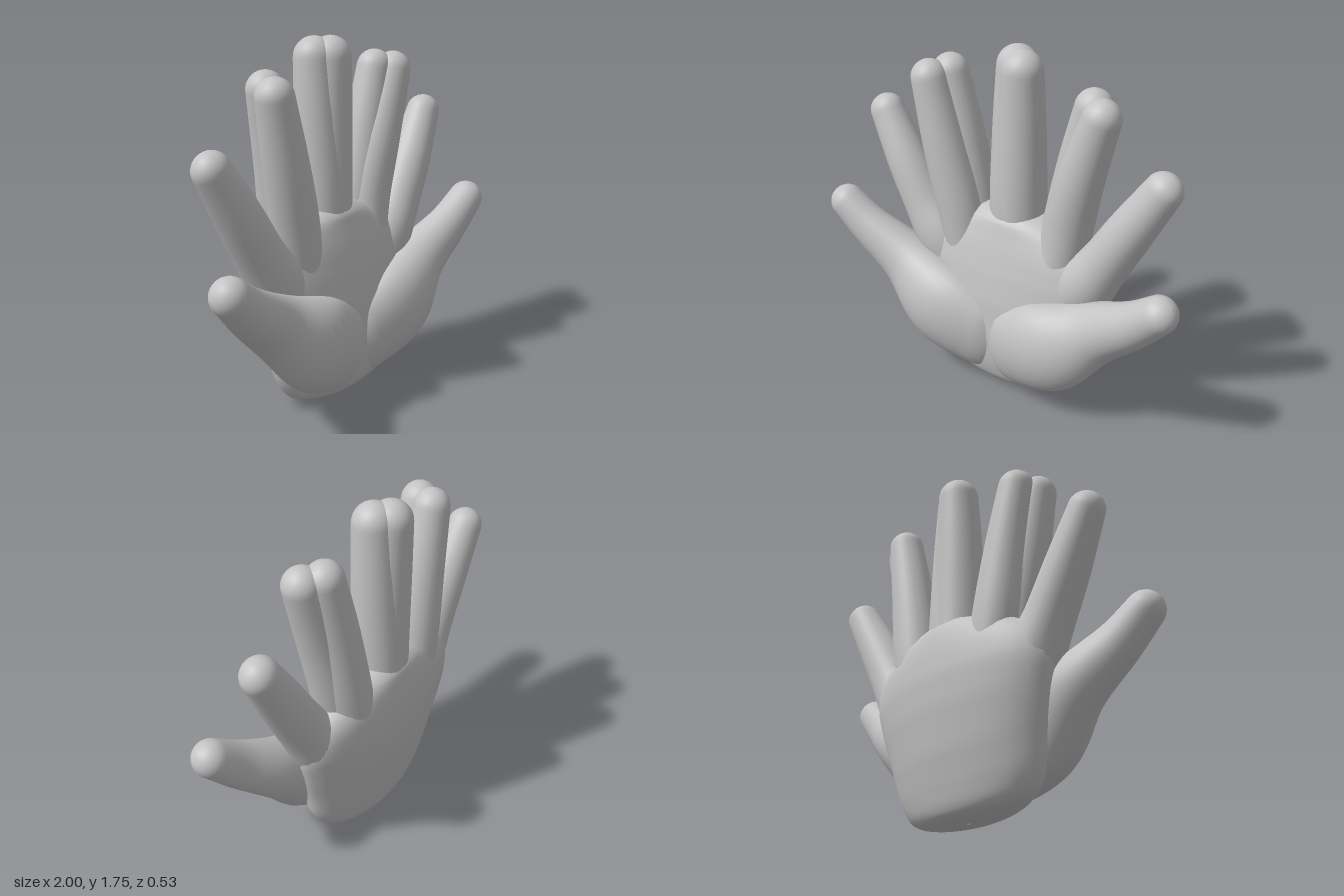
import * as THREE from 'three';

const SIDES = 28;
const Z = new THREE.Vector3(0, 0, 1);

// Smooth closed skin over a list of rings, each SIDES points long
function loft(rings) {
  const pos = [], index = [];
  rings.forEach(ring => ring.forEach(p => pos.push(p.x, p.y, p.z)));
  for (let i = 0; i < rings.length - 1; i++) {
    for (let j = 0; j < SIDES; j++) {
      const k = (j + 1) % SIDES;
      const a = i * SIDES + j, b = i * SIDES + k;
      const c = a + SIDES, d = b + SIDES;
      index.push(a, c, b, b, c, d);
    }
  }
  const geo = new THREE.BufferGeometry();
  geo.setAttribute('position', new THREE.Float32BufferAttribute(pos, 3));
  geo.setIndex(index);
  geo.computeVertexNormals();
  return geo;
}

// Elliptical ring square to direction t
function ringAt(c, t, rSide, rDepth) {
  const s = new THREE.Vector3().crossVectors(t, Z).normalize();
  const d = new THREE.Vector3().crossVectors(s, t).normalize();
  return Array.from({ length: SIDES }, (_, j) => {
    const a = (j / SIDES) * Math.PI * 2;
    return c.clone().addScaledVector(s, Math.cos(a) * rSide).addScaledVector(d, Math.sin(a) * rDepth);
  });
}

// Round-ended limb through points [x, y, z, side radius, depth radius]
function limb(points) {
  const path = new THREE.CatmullRomCurve3(points.map(p => new THREE.Vector3(p[0], p[1], p[2])), false, 'catmullrom');
  const size = new THREE.CatmullRomCurve3(points.map(p => new THREE.Vector3(p[3], p[4], 0)), false, 'catmullrom');
  const rings = [], STEPS = 30, CAP = 8;
  const cap = (u, sign, k) => {
    const a = (k / CAP) * Math.PI / 2, t = path.getTangent(u), r = size.getPoint(u);
    const c = path.getPoint(u).addScaledVector(t, sign * Math.sin(a) * Math.min(r.x, r.y));
    const f = Math.max(Math.cos(a), 0.005);
    rings.push(ringAt(c, t, r.x * f, r.y * f));
  };
  for (let k = CAP; k > 0; k--) cap(0, -1, k);
  for (let i = 0; i <= STEPS; i++) {
    const u = i / STEPS, r = size.getPoint(u);
    rings.push(ringAt(path.getPoint(u), path.getTangent(u), r.x, r.y));
  }
  for (let k = 1; k <= CAP; k++) cap(1, 1, k);
  return loft(rings);
}

// Palm body from level sections [y, half width, back z, front z]
function palmGeometry() {
  const sections = [
    [0.005, 0.01, -0.03, -0.02], [0.008, 0.18, -0.11, 0.06], [0.03, 0.3, -0.15, 0.1],
    [0.07, 0.37, -0.17, 0.13], [0.16, 0.43, -0.195, 0.155], [0.3, 0.47, -0.228, 0.165],
    [0.5, 0.53, -0.258, 0.15], [0.65, 0.56, -0.268, 0.12], [0.76, 0.53, -0.262, 0.09],
    [0.85, 0.42, -0.25, 0.06], [0.91, 0.27, -0.235, 0.04], [0.95, 0.13, -0.2, 0], [0.96, 0.01, -0.11, -0.1],
  ];
  const mid = new THREE.CatmullRomCurve3(sections.map(s => new THREE.Vector3(s[1], s[0], (s[2] + s[3]) / 2)));
  const half = sections.map(s => (s[3] - s[2]) / 2);
  const n = sections.length - 1, UP = new THREE.Vector3(0, 1, 0), rings = [];
  for (let i = 0; i <= n * 4; i++) {
    const u = i / (n * 4), p = mid.getPoint(u);
    const k = Math.min(Math.floor(u * n), n - 1);
    const depth = THREE.MathUtils.lerp(half[k], half[k + 1], u * n - k);
    rings.push(ringAt(new THREE.Vector3(0, p.y, p.z), UP, Math.max(p.x, 0.004), depth));
  }
  return loft(rings);
}

export function createModel() {
  const model = new THREE.Group();
  model.name = 'overlappingHands';
  const skin = new THREE.MeshStandardMaterial({ color: 0xc4c4c4 });
  skin.name = 'plain grey';

  const add = (name, geometry) => {
    const mesh = new THREE.Mesh(geometry, skin);
    mesh.name = name;
    model.add(mesh);
  };

  add('palm', palmGeometry());

  for (const [label, m] of [['left', 1], ['right', -1]]) {
    const part = (name, points) => add(label + name, limb(points.map(([x, ...rest]) => [x * m, ...rest])));
    const left = m === 1;

    // Thumb with its thick fleshy base
    part('Thumb', [
      [0.02, 0.25, 0.055, 0.19, 0.1], [0.13, 0.28, 0.085, 0.22, 0.13], [0.34, 0.38, 0.115, 0.23, 0.152],
      [0.56, 0.53, 0.085, 0.155, 0.135], [0.77, 0.68, 0.125, 0.113, 0.103], [0.91, 0.805, 0.15, 0.09, 0.09],
    ]);

    // Outer finger
    part('OuterFinger', [
      [0.34, 0.5, -0.05, 0.14, 0.11], [0.43, 0.68, -0.04, 0.145, 0.13], [0.53, 0.84, -0.04, 0.122, 0.118],
      [0.65, 1.05, -0.045, 0.11, 0.108], [0.785, 1.28, -0.06, 0.09, 0.085],
    ]);

    // Two overlapping fingers, one ahead of the other
    const zf = left ? -0.04 : 0;
    part('FrontFinger', [
      [0.25, 0.6, -0.05, 0.11, 0.12], [0.3, 0.9, zf - 0.025, 0.122, 0.115],
      [0.37, 1.2, zf - 0.01, 0.113, 0.108], [left ? 0.475 : 0.45, 1.545, zf, 0.09, 0.09],
    ]);
    part('RearFinger', [
      [0.22, 0.6, -0.12, 0.11, 0.11], [0.275, 0.9, -0.11, 0.122, 0.12],
      [0.335, 1.25, -0.105, 0.108, 0.105], [0.4, 1.56, -0.1, 0.09, 0.088],
    ]);

    // Middle finger, nearly coinciding with its twin
    const zm = left ? -0.08 : -0.13;
    part('MiddleFinger', [
      [0.01, 0.6, -0.11, 0.13, 0.13], [0.015, 0.95, -0.1, 0.128, 0.13],
      [0.025, 1.35, (zm - 0.1) / 2, 0.115, 0.114], [0.03, 1.655, zm, 0.1, 0.1],
    ]);
  }
  return model;
}
